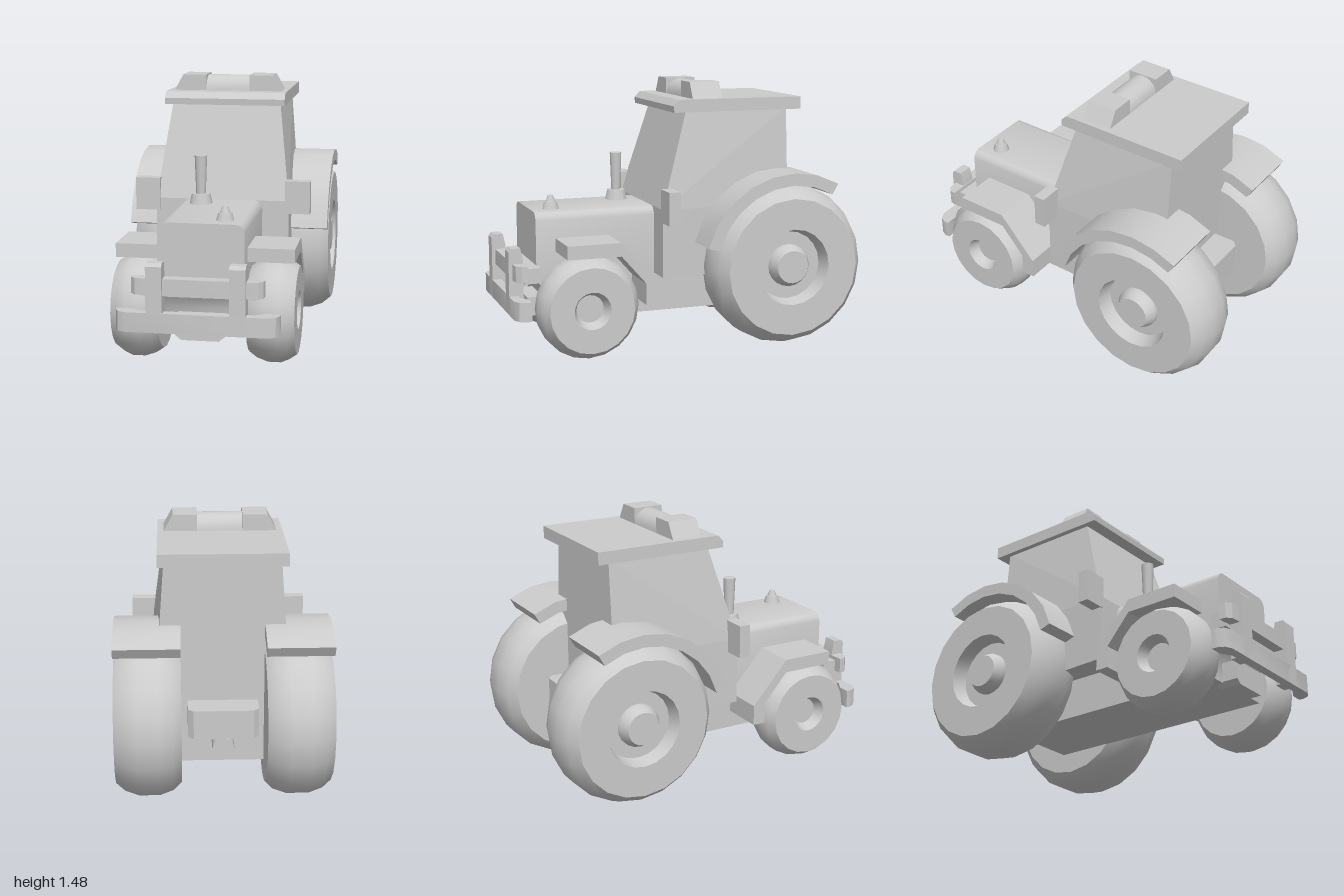
import * as THREE from 'three';
import { toCreasedNormals } from 'three/addons/utils/BufferGeometryUtils.js';
import { ConvexGeometry } from 'three/addons/geometries/ConvexGeometry.js';

const material = new THREE.MeshStandardMaterial({ color: 0xcccccc });

export function createModel() {
  const model = new THREE.Group();
  model.name = 'tractor';

  const add = (name, geometry, x = 0, y = 0, z = 0) => {
    const mesh = new THREE.Mesh(geometry, material);
    mesh.name = name;
    mesh.position.set(x, y, z);
    model.add(mesh);
    return mesh;
  };

  // Box given by its limits on each axis
  const box = (name, x0, x1, y0, y1, z0, z1) =>
    add(name, new THREE.BoxGeometry(x1 - x0, y1 - y0, z1 - z0), (x0 + x1) / 2, (y0 + y1) / 2, (z0 + z1) / 2);

  const extrude = (points, depth) => {
    const shape = new THREE.Shape(points.map(([a, b]) => new THREE.Vector2(a, b)));
    return new THREE.ExtrudeGeometry(shape, { depth, bevelEnabled: false });
  };
  const creased = (geometry) => toCreasedNormals(geometry, 0.6);

  // Outline in (z, y), swept across from x0 to x1
  const sideProfile = (name, points, x0, x1) =>
    add(name, creased(extrude(points, x1 - x0).rotateY(-Math.PI / 2)), x1);
  // Outline in (x, y), swept from z0 to z1
  const frontProfile = (name, points, z0, z1) =>
    add(name, creased(extrude(points, z1 - z0)), 0, 0, z0);
  // Outline in (x, z), swept from y0 to y1
  const planProfile = (name, points, y0, y1) =>
    add(name, creased(extrude(points.map(([x, z]) => [x, -z]), y1 - y0).rotateX(-Math.PI / 2)), 0, y0);
  // Completes a half outline by reflecting it in x
  const mirrored = (half) => [...half, ...half.map(([x, v]) => [-x, v]).reverse()];

  // Solid of revolution about a wheel axle; profile is (radius, distance from centre line)
  const wheel = (name, profile, segments, side, y, z) => {
    const points = profile.map(([r, x]) => new THREE.Vector2(r, x));
    const mesh = add(name, creased(new THREE.LatheGeometry(points, segments)), 0, y, z);
    mesh.rotation.z = -side * Math.PI / 2;
  };

  // Chassis and engine hood
  sideProfile('chassis', [[0.84, 0.42], [0.78, 0.33], [0.78, 0.19], [-0.6, 0.19], [-0.6, 0.42]], -0.23, 0.23);
  frontProfile('hood', mirrored([[0.23, 0.41], [0.23, 0.745], [0.222, 0.767], [0.207, 0.783], [0.185, 0.79]]), 0.1, 0.84);
  frontProfile('frontWeight', mirrored([[0.1, 0.17], [0.13, 0.195], [0.13, 0.3]]), 0.74, 0.87);

  // Cab: level sections of [height, front z, front half width, rear half width]
  const cabPoints = [];
  for (const [y, front, wf, wr] of [[0.41, 0.16, 0.38, 0.35], [0.79, 0.16, 0.38, 0.35], [1.33, 0, 0.31, 0.31]]) {
    for (const s of [-1, 1]) {
      cabPoints.push(new THREE.Vector3(s * wf, y, front), new THREE.Vector3(s * wr, y, -0.605));
    }
  }
  add('cab', new ConvexGeometry(cabPoints));
  sideProfile('roof', [[0.08, 1.32], [0.083, 1.355], [0.05, 1.39], [-0.68, 1.39], [-0.68, 1.32]], -0.343, 0.343);

  // Roof lamp: a barrel between two sloping end blocks
  for (const s of [-1, 1]) {
    frontProfile('roofLampEnd', [[s * 0.125, 1.39], [s * 0.31, 1.39], [s * 0.26, 1.48], [s * 0.125, 1.48]], -0.215, -0.04);
  }
  const barrel = [];
  for (let i = 0; i <= 10; i++) {
    const a = (i / 10) * Math.PI;
    barrel.push([-0.1275 + 0.0875 * Math.cos(a), 1.388 + 0.088 * Math.sin(a)]);
  }
  sideProfile('roofLampBarrel', barrel, -0.125, 0.125);

  // Exhaust and filler cap on the hood
  const turned = (name, rTop, rBottom, y0, y1, x, z) =>
    add(name, new THREE.CylinderGeometry(rTop, rBottom, y1 - y0, 10), x, (y0 + y1) / 2, z);
  turned('exhaustBase', 0.052, 0.066, 0.785, 0.845, -0.1, 0.28);
  turned('exhaustPipe', 0.035, 0.027, 0.84, 1.06, -0.1, 0.28);
  turned('capBase', 0.036, 0.05, 0.785, 0.83, 0.11, 0.725);
  turned('capTop', 0.015, 0.029, 0.83, 0.865, 0.11, 0.725);

  // Rear hitch block and power shaft
  planProfile('rearHitch', mirrored([[0.19, -0.58], [0.19, -0.73], [0.16, -0.76]]), 0.39, 0.55);
  add('powerShaft', new THREE.CylinderGeometry(0.06, 0.06, 0.14, 12).rotateX(Math.PI / 2), 0, 0.31, -0.64);

  // Front bumper, rail and uprights
  planProfile('bumper', mirrored([[0.3, 0.95], [0.36, 0.915], [0.43, 0.915], [0.43, 0.945], [0.412, 0.98], [0.37, 1]]), 0.24, 0.345);
  planProfile('bumperRail', mirrored([[0.35, 0.915], [0.345, 0.95], [0.32, 0.975], [0.28, 0.98]]), 0.435, 0.523);
  box('railBracket', -0.3, 0.3, 0.415, 0.5, 0.83, 0.92);

  // Wheel outlines, from the inner face round the tread to the recessed rim
  const rearWheel = [[0, 0.225], [0.385, 0.225], [0.43, 0.27], [0.457, 0.345], [0.457, 0.455], [0.43, 0.53], [0.387, 0.58],
    [0.215, 0.58], [0.192, 0.5], [0.12, 0.5], [0.118, 0.525], [0.092, 0.57], [0, 0.57]];
  const frontWheel = [[0, 0.235], [0.235, 0.235], [0.263, 0.275], [0.284, 0.335], [0.284, 0.405], [0.265, 0.45], [0.237, 0.49],
    [0.103, 0.49], [0.076, 0.43], [0, 0.43]];

  // Rear fender outline: an arc concentric with the wheel
  const fenderArc = [];
  const steps = 7, start = 0.27, sweep = 1.82;
  for (let i = 0; i <= steps; i++) {
    const a = start + (i / steps) * sweep;
    fenderArc.push([-0.543 + 0.53 * Math.cos(a), 0.458 + 0.53 * Math.sin(a)]);
  }
  for (let i = steps; i >= 0; i--) {
    const a = start + (i / steps) * sweep;
    fenderArc.push([-0.543 + 0.462 * Math.cos(a), 0.458 + 0.462 * Math.sin(a)]);
  }
  const frontFender = [[0.73, 0.645], [0.43, 0.645], [0.215, 0.405], [0.215, 0.29], [0.29, 0.29], [0.29, 0.41], [0.43, 0.57], [0.73, 0.57]];
  const upright = [[0.92, 0.24], [1, 0.24], [1, 0.59], [0.985, 0.608], [0.935, 0.608], [0.92, 0.54]];

  // Parts in left and right pairs
  for (const s of [-1, 1]) {
    const span = (a, b) => (s > 0 ? [a, b] : [-b, -a]);
    wheel('rearWheel', rearWheel, 20, s, 0.458, -0.543);
    wheel('frontWheel', frontWheel, 20, s, 0.284, 0.595);
    sideProfile('rearFender', fenderArc, ...span(0.225, 0.582));
    sideProfile('frontFender', frontFender, ...span(0.22, 0.48));
    sideProfile('bumperUpright', upright, ...span(0.175, 0.26));
    box('mirror', ...span(0.36, 0.5), 0.72, 0.905, 0.1, 0.165);
  }
  return model;
}
